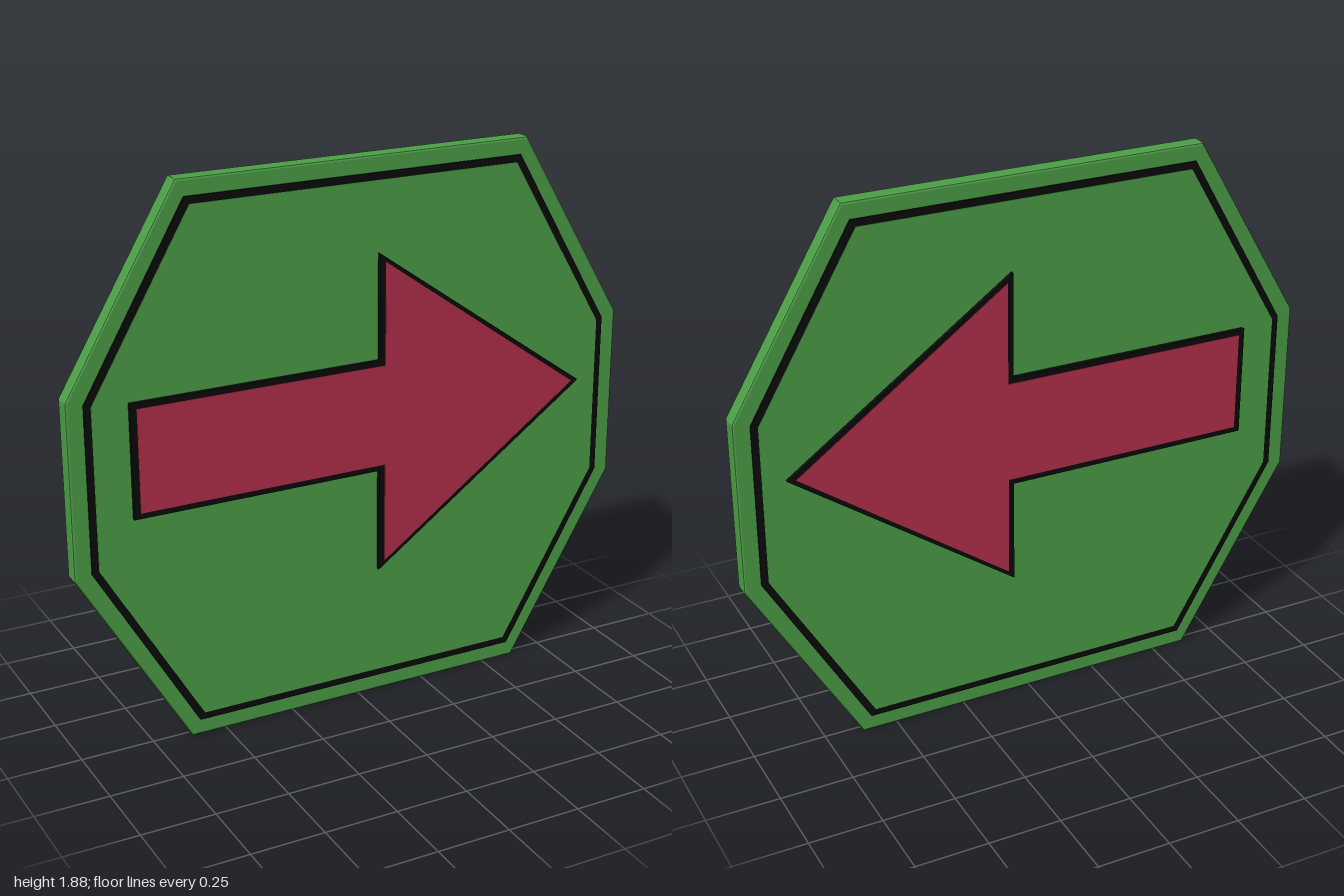
import * as THREE from 'three';

const material = (name, color) => {
  const m = new THREE.MeshStandardMaterial({ color });
  m.name = name;
  return m;
};

// Eight-sided outline from its half width, half flat top, half straight side and half height
function octagon(w, flat, side, h) {
  const c = 0.94;
  return [
    [w, c - side], [w, c + side], [flat, c + h], [-flat, c + h],
    [-w, c + side], [-w, c - side], [-flat, c - h], [flat, c - h],
  ];
}

// Right-pointing arrow, symmetric about y = 1.015
function arrow(tail, neck, tip, shaft, head) {
  const c = 1.015;
  return [
    [tail, c - shaft], [neck, c - shaft], [neck, c - head], [tip, c],
    [neck, c + head], [neck, c + shaft], [tail, c + shaft],
  ];
}

// Flat slab centred on z, with an optional bevel inside its outline
function slab(name, points, thickness, mat, z = 0, bevel = 0) {
  const shape = new THREE.Shape(points.map(([x, y]) => new THREE.Vector2(x, y)));
  const depth = thickness - 2 * bevel;
  const geometry = new THREE.ExtrudeGeometry(shape, {
    depth,
    bevelEnabled: bevel > 0,
    bevelThickness: bevel,
    bevelSize: bevel,
    bevelOffset: -bevel,
    bevelSegments: 2,
  });
  geometry.translate(0, 0, z - depth / 2);
  const mesh = new THREE.Mesh(geometry, mat);
  mesh.name = name;
  return mesh;
}

export function createModel() {
  const green = material('sign green', 0x4c9f46);
  const red = material('arrow red', 0xb5304c);
  const black = material('outline black', 0x0a0a0a);

  const sign = new THREE.Group();
  sign.name = 'arrowSign';

  // Board and the black slabs that show as outlines on both sides
  sign.add(
    slab('board', octagon(1, 0.62, 0.295, 0.94), 0.06, green, 0, 0.008),
    slab('borderLine', octagon(0.943, 0.594, 0.28, 0.884), 0.07, black),
    slab('arrowOutline', arrow(-0.8, 0.066, 0.842, 0.192, 0.551), 0.102, black),
  );

  // Coloured faces, front and back
  for (const [side, s] of [['front', 1], ['back', -1]]) {
    sign.add(
      slab(side + 'Panel', octagon(0.92, 0.578, 0.273, 0.86), 0.004, green, s * 0.0345),
      slab(side + 'Arrow', arrow(-0.779, 0.086, 0.815, 0.173, 0.521), 0.004, red, s * 0.0505),
    );
  }
  return sign;
}
